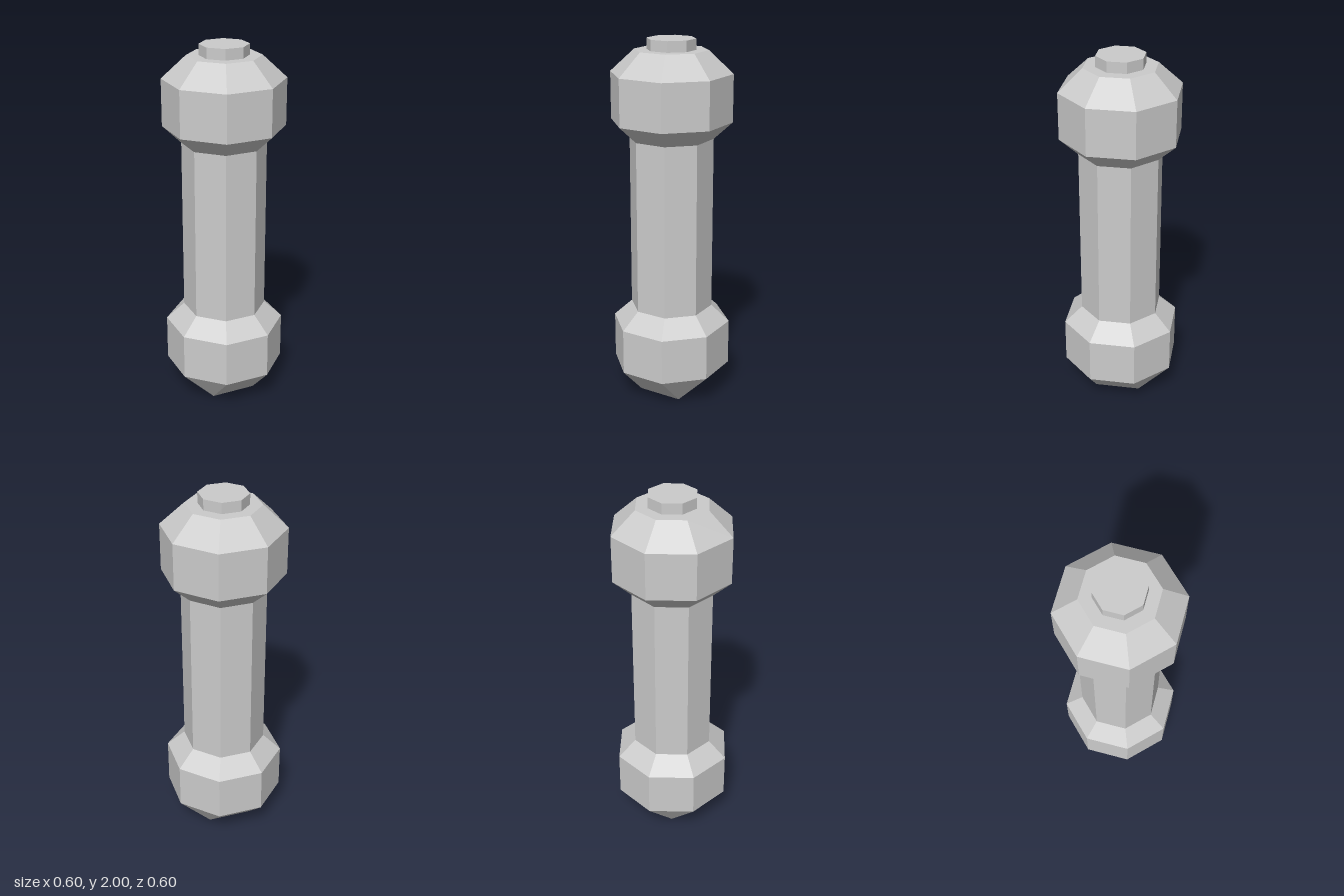
import * as THREE from 'three';

const SIDES = 8;
const HALF = Math.PI / SIDES;
const material = new THREE.MeshStandardMaterial({ color: 0xcccccc, flatShading: true });

// Octagonal solid from [distance to flat side, height] pairs, bottom to top
function octagonal(name, profile) {
  const points = profile.map(([a, y]) => new THREE.Vector2(a / Math.cos(HALF), y));
  const mesh = new THREE.Mesh(new THREE.LatheGeometry(points, SIDES, HALF), material);
  mesh.name = name;
  return mesh;
}

// Tapered foot: octagon above, square below, joined by four quads and four triangles
function taperedFoot(apothem, height) {
  const h = apothem * Math.tan(HALF);
  const ring = [], square = [], pos = [];
  for (let i = 0; i < SIDES; i++) {
    const t = HALF + i * 2 * HALF, r = apothem / Math.cos(HALF);
    ring.push([r * Math.sin(t), height, r * Math.cos(t)]);
  }
  for (let k = 0; k < 4; k++) {
    const t = Math.PI / 4 + k * Math.PI / 2, r = h * Math.SQRT2;
    square.push([r * Math.sin(t), 0, r * Math.cos(t)]);
  }
  const tri = (...corners) => corners.forEach((c) => pos.push(...c));
  for (let k = 0; k < 4; k++) {
    const a = ring[2 * k], b = ring[2 * k + 1], c = ring[(2 * k + 2) % SIDES];
    const p = square[k], q = square[(k + 1) % 4];
    tri(a, p, b);
    tri(b, p, c);
    tri(p, q, c);
  }
  tri(square[0], square[2], square[1]);
  tri(square[0], square[3], square[2]);
  const geometry = new THREE.BufferGeometry();
  geometry.setAttribute('position', new THREE.Float32BufferAttribute(pos, 3));
  geometry.computeVertexNormals();
  const mesh = new THREE.Mesh(geometry, material);
  mesh.name = 'taperedFoot';
  return mesh;
}

export function createModel() {
  const model = new THREE.Group();
  model.name = 'octagonalHandle';
  model.add(
    taperedFoot(0.302, 0.177),
    octagonal('lowerKnob', [[0.302, 0.177], [0.302, 0.43], [0.21, 0.522]]),
    octagonal('shaft', [[0.21, 0.522], [0.21, 1.476]]),
    octagonal('upperKnob', [[0.21, 1.476], [0.302, 1.568], [0.302, 1.822], [0.182, 1.942], [0, 1.942]]),
    octagonal('topButton', [[0.121, 1.942], [0.121, 2], [0, 2]]),
  );
  return model;
}
